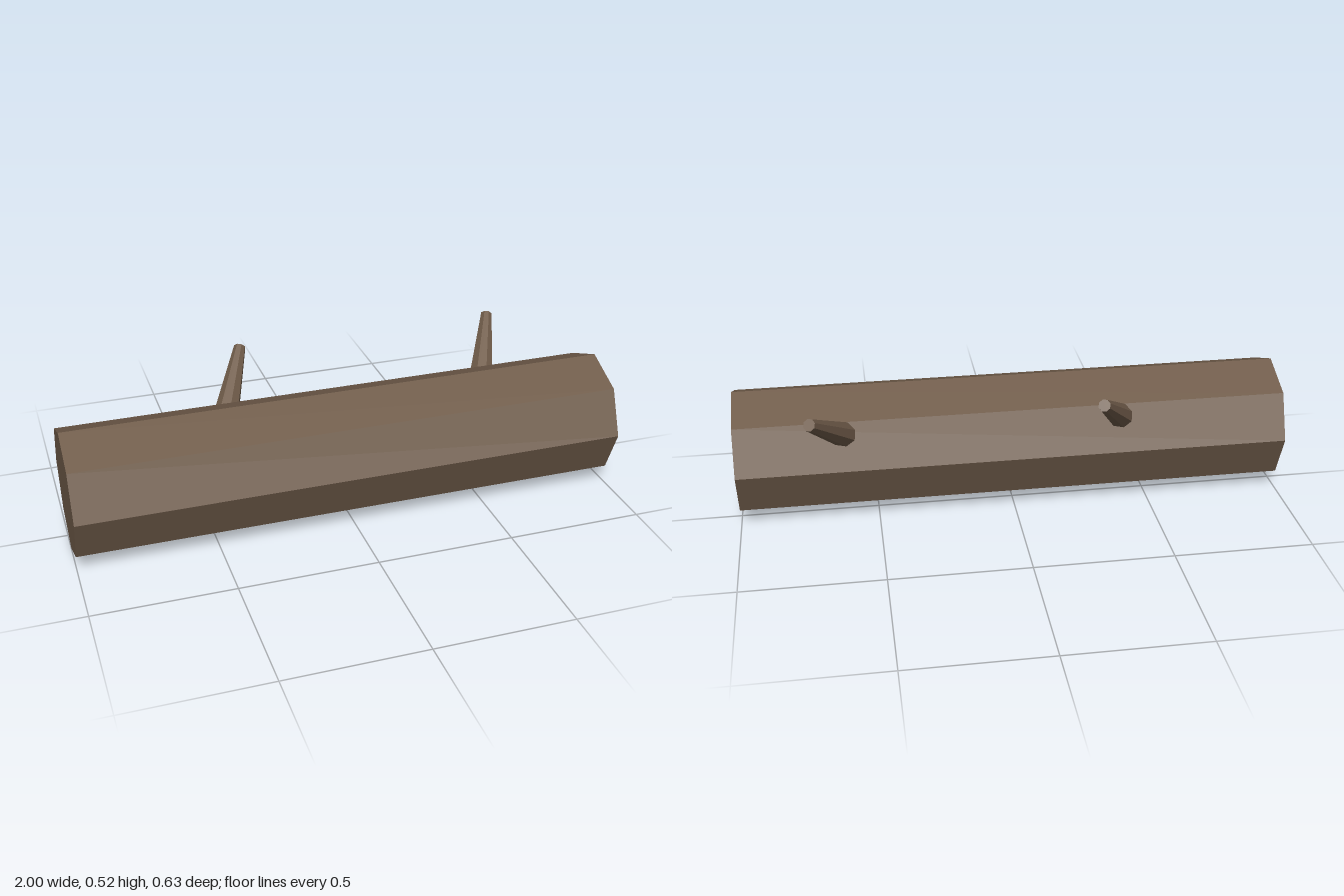
import * as THREE from 'three';

export function createModel() {
  const model = new THREE.Group();
  model.name = 'log';
  const bark = new THREE.MeshStandardMaterial({ color: 0x6f5b49 });
  bark.name = 'brown bark';
  bark.flatShading = true;

  // Eight-sided trunk lying along x
  const trunkGeometry = new THREE.CylinderGeometry(0.231, 0.231, 2, 8);
  trunkGeometry.rotateZ(Math.PI / 2);
  const trunk = new THREE.Mesh(trunkGeometry, bark);
  trunk.name = 'trunk';
  trunk.position.set(0, 0.231, 0.085);
  model.add(trunk);

  // Tapered branch stubs leaning up, back and to +x, rooted inside the trunk
  const lean = new THREE.Vector3(0.105, 0.146, -0.209).normalize();
  const length = 0.36;
  [-0.275, 0.725].forEach((tipX, i) => {
    const branch = new THREE.Mesh(new THREE.CylinderGeometry(0.022, 0.052, length, 8), bark);
    branch.name = i === 0 ? 'rightBranch' : 'leftBranch';
    branch.quaternion.setFromUnitVectors(new THREE.Vector3(0, 1, 0), lean);
    branch.position.set(tipX, 0.503, -0.302).addScaledVector(lean, -length / 2);
    model.add(branch);
  });

  return model;
}
